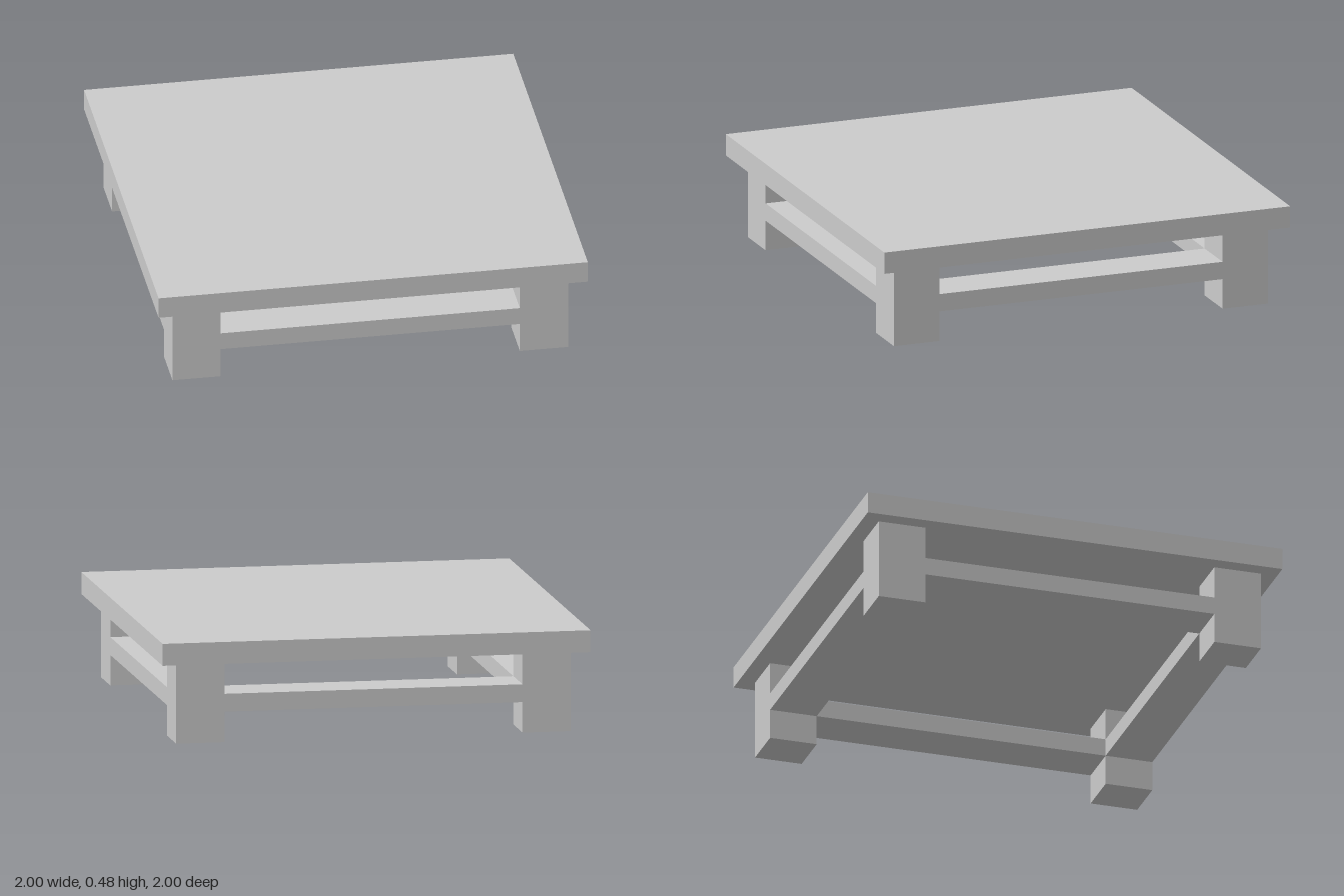
import * as THREE from 'three';

export function createModel() {
  const group = new THREE.Group();
  const material = new THREE.MeshStandardMaterial({ color: 0xcccccc });

  const top = 0.48, under = 0.378;       // tabletop heights
  const railTop = 0.225, railLow = 0.142; // rail heights
  const outer = 0.922, inner = 0.697;    // leg faces, from the centre
  const legWidth = outer - inner;
  const mid = (outer + inner) / 2;

  function addBox(name, w, y0, y1, d, x, z) {
    const mesh = new THREE.Mesh(new THREE.BoxGeometry(w, y1 - y0, d), material);
    mesh.name = name;
    mesh.position.set(x, (y0 + y1) / 2, z);
    group.add(mesh);
  }

  // Square tabletop
  addBox('tabletop', 2, under, top, 2, 0, 0);

  // Four square legs
  for (const [sx, xName] of [[1, 'Left'], [-1, 'Right']]) {
    for (const [sz, zName] of [[1, 'front'], [-1, 'back']]) {
      addBox(zName + xName + 'Leg', legWidth, 0, under, legWidth, sx * mid, sz * mid);
    }
  }

  // Rails between the legs, as wide as the legs and flush with them
  for (const s of [1, -1]) {
    addBox(s > 0 ? 'frontRail' : 'backRail', 2 * inner, railLow, railTop, legWidth, 0, s * mid);
    addBox(s > 0 ? 'leftRail' : 'rightRail', legWidth, railLow, railTop, 2 * inner, s * mid, 0);
  }

  return group;
}
